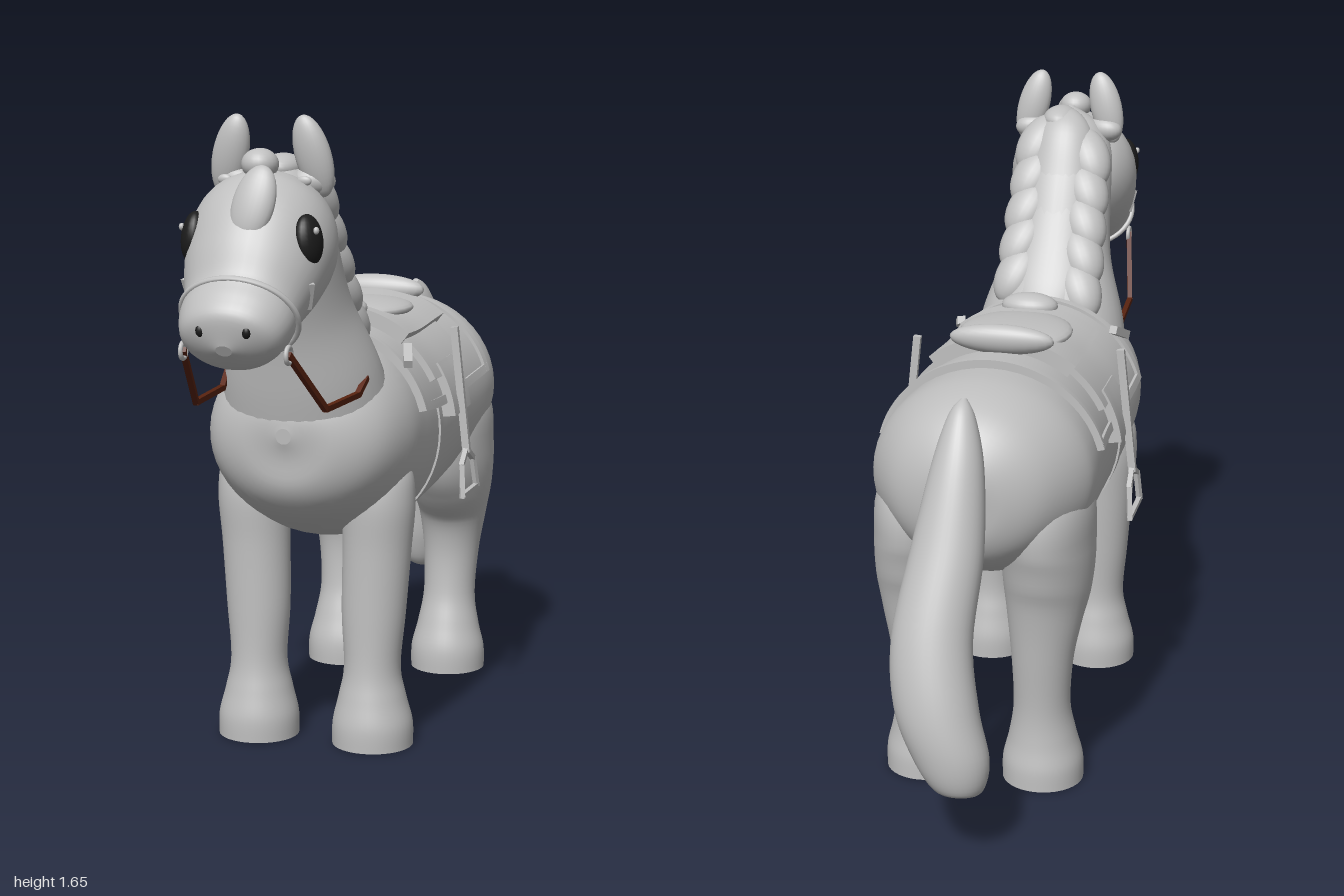
import * as THREE from 'three';
import { toCreasedNormals } from 'three/addons/utils/BufferGeometryUtils.js';

const grey = new THREE.MeshStandardMaterial({ color: 0xc0c0c0 });
grey.name = 'pale grey';
const black = new THREE.MeshStandardMaterial({ color: 0x1c1c1c });
black.name = 'black';
const brown = new THREE.MeshStandardMaterial({ color: 0x5a2410 });
brown.name = 'rein brown';

// Smooth interpolation through sections [x, y, z, half width, half depth]
function sample(secs, t) {
  const f = t * (secs.length - 1);
  const i = Math.min(Math.floor(f), secs.length - 2);
  const u = f - i;
  const at = k => secs[Math.max(0, Math.min(secs.length - 1, k))];
  return secs[0].map((_, k) => {
    const [p, a, b, n] = [at(i - 1)[k], at(i)[k], at(i + 1)[k], at(i + 2)[k]];
    const v = a + 0.5 * u * (b - p + u * (2 * p - 5 * a + 4 * b - n + u * (3 * (a - b) + n - p)));
    return k > 2 ? Math.max(v, 0.001) : v;
  });
}

// Elliptical skin over the sections, closed by flat caps
function loft(secs, steps = 48, sides = 36) {
  const pos = [], idx = [];
  for (let i = 0; i <= steps; i++) {
    const [x, y, z, rx, rn] = sample(secs, i / steps);
    const p = sample(secs, Math.max(0, i - 1) / steps);
    const q = sample(secs, Math.min(steps, i + 1) / steps);
    const len = Math.hypot(q[1] - p[1], q[2] - p[2]);
    const ty = (q[1] - p[1]) / len, tz = (q[2] - p[2]) / len;
    for (let j = 0; j < sides; j++) {
      const a = j / sides * Math.PI * 2, s = Math.sin(a) * rn;
      pos.push(x + Math.cos(a) * rx, y + tz * s, z - ty * s);
      if (i < steps) {
        const k = i * sides, j2 = (j + 1) % sides;
        idx.push(k + j, k + j2, k + sides + j, k + j2, k + sides + j2, k + sides + j);
      }
    }
  }
  [0, steps].forEach(i => {
    const base = pos.length / 3, ring = pos.slice(i * sides * 3, (i + 1) * sides * 3);
    pos.push(...ring, ...sample(secs, i / steps).slice(0, 3));
    for (let j = 0; j < sides; j++) {
      const a = base + j, b = base + (j + 1) % sides;
      idx.push(base + sides, ...(i ? [a, b] : [b, a]));
    }
  });
  const g = new THREE.BufferGeometry();
  g.setAttribute('position', new THREE.Float32BufferAttribute(pos, 3));
  g.setIndex(idx);
  g.computeVertexNormals();
  return g;
}

const bodySections = [
  [0, 0.86, -0.69, 0.02, 0.02], [0, 0.86, -0.67, 0.11, 0.12], [0, 0.855, -0.61, 0.2, 0.195],
  [0, 0.845, -0.5, 0.27, 0.24], [0, 0.83, -0.4, 0.287, 0.26], [0, 0.8, -0.2, 0.27, 0.28],
  [0, 0.785, 0, 0.262, 0.282], [0, 0.8, 0.2, 0.27, 0.275], [0, 0.825, 0.35, 0.268, 0.25],
  [0, 0.84, 0.47, 0.225, 0.205], [0, 0.85, 0.545, 0.13, 0.125], [0, 0.85, 0.572, 0.02, 0.02]];
const bodyRings = Array.from({ length: 201 }, (_, i) => sample(bodySections, i / 200));
const bodyAt = z => bodyRings.find(r => r[2] >= z);

// Cloth or leather panel wrapped over the barrel, between two heights angles
function wrap(z0, z1, a0, a1, off, nu = 40, nv = 8) {
  const pos = [], idx = [];
  for (let i = 0; i <= nv + 2; i++) for (let j = 0; j <= nu + 2; j++) {
    const rim = i === 0 || j === 0 || i === nv + 2 || j === nu + 2;
    const v = Math.max(0, Math.min(nv, i - 1)) / nv, u = Math.max(0, Math.min(nu, j - 1)) / nu;
    const z = z0 + (z1 - z0) * v, a = a0 + (a1 - a0) * u, o = rim ? -0.01 : off;
    const [, y, , rx, ry] = bodyAt(z);
    pos.push(Math.cos(a) * (rx + o), y + Math.sin(a) * (ry + o), z);
    if (i < nv + 2 && j < nu + 2) {
      const k = i * (nu + 3) + j, m = k + nu + 3;
      idx.push(k, k + 1, m, k + 1, m + 1, m);
    }
  }
  const g = new THREE.BufferGeometry();
  g.setAttribute('position', new THREE.Float32BufferAttribute(pos, 3));
  g.setIndex(idx);
  return toCreasedNormals(g, 0.7);
}

export function createModel() {
  const horse = new THREE.Group();
  horse.name = 'saddledHorse';
  const add = (name, geo, mat = grey) => {
    const m = new THREE.Mesh(geo, mat);
    m.name = name;
    horse.add(m);
    return m;
  };
  const ball = (name, p, s, r = [0, 0, 0], mat = grey) => {
    const m = add(name, new THREE.SphereGeometry(1, 24, 16), mat);
    m.position.set(...p);
    m.scale.set(...s);
    m.rotation.set(...r);
  };
  const bar = (name, a, b, w, d = w, mat = grey) => {
    const A = new THREE.Vector3(...a), B = new THREE.Vector3(...b);
    const m = add(name, new THREE.BoxGeometry(w, d, A.distanceTo(B) + w * 0.5), mat);
    m.position.copy(A).add(B).multiplyScalar(0.5);
    m.lookAt(B);
  };

  // Body, neck, head and tail
  add('body', loft(bodySections, 64, 48));
  add('neck', loft([[0, 0.82, 0.35, 0.23, 0.2], [0, 1.0, 0.42, 0.2, 0.175], [0, 1.16, 0.49, 0.15, 0.14],
    [0, 1.31, 0.56, 0.135, 0.125], [0, 1.42, 0.615, 0.13, 0.11], [0, 1.5, 0.64, 0.09, 0.075], [0, 1.55, 0.65, 0.01, 0.01]]));
  add('head', loft([[0, 1.465, 0.55, 0.01, 0.01], [0, 1.43, 0.59, 0.11, 0.11], [0, 1.39, 0.64, 0.16, 0.16],
    [0, 1.34, 0.71, 0.18, 0.18], [0, 1.27, 0.79, 0.167, 0.155], [0, 1.21, 0.86, 0.143, 0.118],
    [0, 1.168, 0.92, 0.135, 0.103], [0, 1.14, 0.965, 0.105, 0.08], [0, 1.125, 0.99, 0.02, 0.015]]));
  add('tail', loft([[0, 1.1, -0.635, 0.008, 0.008], [0, 1.06, -0.66, 0.035, 0.035], [0, 0.95, -0.705, 0.065, 0.06],
    [0.01, 0.76, -0.775, 0.09, 0.075], [0.03, 0.56, -0.855, 0.1, 0.082], [0.01, 0.4, -0.9, 0.105, 0.088],
    [-0.03, 0.28, -0.92, 0.095, 0.08], [-0.05, 0.2, -0.925, 0.06, 0.055], [-0.05, 0.18, -0.93, 0.01, 0.01]]));

  // Mane, forelock and crown tufts
  add('mane', loft([[0, 1.53, 0.65, 0.02, 0.02], [0, 1.48, 0.585, 0.08, 0.06], [0, 1.33, 0.505, 0.1, 0.065],
    [0, 1.2, 0.425, 0.11, 0.065], [0, 1.1, 0.345, 0.11, 0.055], [0, 1.05, 0.27, 0.06, 0.03], [0, 1.045, 0.25, 0.01, 0.01]]));
  ball('crownTuft', [0, 1.535, 0.73], [0.045, 0.038, 0.045]);
  ball('crownTuft', [0.02, 1.52, 0.62], [0.05, 0.035, 0.07]);
  ball('forelock', [0.025, 1.45, 0.85], [0.052, 0.095, 0.026], [-0.28, 0, -0.2]);

  // Muzzle strap
  const nose = add('noseband', new THREE.TorusGeometry(1, 0.055, 8, 48));
  nose.position.set(0, 1.19, 0.88);
  nose.scale.set(0.143, 0.115, 0.15);
  nose.rotation.x = 0.56;

  // Mirrored parts
  for (const s of [1, -1]) {
    add('frontLeg', loft([[s * 0.157, 0, 0.32, 0.106, 0.106], [s * 0.157, 0.06, 0.32, 0.105, 0.105],
      [s * 0.156, 0.13, 0.32, 0.088, 0.09], [s * 0.156, 0.21, 0.32, 0.074, 0.076], [s * 0.158, 0.35, 0.315, 0.084, 0.078],
      [s * 0.165, 0.52, 0.31, 0.09, 0.083], [s * 0.17, 0.65, 0.31, 0.095, 0.088], [s * 0.165, 0.74, 0.31, 0.085, 0.07], [s * 0.15, 0.8, 0.31, 0.03, 0.03]]));
    add('hindLeg', loft([[s * 0.157, 0, -0.44, 0.106, 0.106], [s * 0.157, 0.06, -0.44, 0.105, 0.104],
      [s * 0.157, 0.13, -0.445, 0.088, 0.088], [s * 0.157, 0.22, -0.455, 0.074, 0.074], [s * 0.16, 0.35, -0.465, 0.08, 0.078],
      [s * 0.165, 0.46, -0.46, 0.096, 0.1], [s * 0.168, 0.55, -0.44, 0.112, 0.15], [s * 0.165, 0.66, -0.42, 0.12, 0.19],
      [s * 0.155, 0.8, -0.42, 0.115, 0.18], [s * 0.12, 0.93, -0.42, 0.05, 0.06]]));

    // Ears, eyes and nostrils
    ball('ear', [s * 0.105, 1.55, 0.645], [0.045, 0.102, 0.03], [0.12, 0, s * 0.25]);
    ball('earBase', [s * 0.1, 1.49, 0.635], [0.055, 0.035, 0.035], [0, s * 0.3, 0]);
    ball('eye', [s * 0.143, 1.365, 0.8], [0.03, 0.062, 0.044], [0, s * -0.25, s * 0.12], black);
    ball('eyeGlint', [s * 0.167, 1.39, 0.815], [0.007, 0.009, 0.008]);
    ball('browMark', [s * 0.1, 1.495, 0.7], [0.018, 0.012, 0.008]);
    ball('nostril', [s * 0.054, 1.172, 0.985], [0.013, 0.018, 0.018], [0, s * 0.4, 0], black);

    // Bridle and reins
    bar('cheekStrap', [s * 0.145, 1.21, 0.81], [s * 0.157, 1.265, 0.825], 0.014);
    const ring = add('bitRing', new THREE.TorusGeometry(0.019, 0.006, 8, 20));
    ring.position.set(s * 0.13, 1.11, 0.91);
    ring.rotation.y = Math.PI / 2;
    const rein = [[s * 0.13, 1.11, 0.91], [s * 0.165, 0.957, 0.74], [s * 0.178, 0.957, 0.52], [s * 0.183, 0.99, 0.47]];
    for (let i = 0; i < 3; i++) bar('rein', rein[i], rein[i + 1], 0.014, 0.014, brown);

    // Mane locks, staggered from side to side
    for (let i = 0; i < 5; i++) {
      const t = (i + (s > 0 ? 0.1 : 0.45)) / 4.8;
      ball('maneLock', [s * (0.07 + 0.02 * t), 1.46 - 0.39 * t, 0.575 - 0.25 * t],
        [0.062, 0.095, 0.052], [0.6, 0, s * 0.4]);
    }

    // Saddle flaps, stirrup leather and stirrup
    const side = (a, b) => s > 0 ? [a, b] : [Math.PI - b, Math.PI - a];
    add('saddleSkirt', wrap(-0.19, 0.1, ...side(0.48, 1.4), 0.03, 12));
    add('saddleFlap', wrap(-0.13, 0.02, ...side(0.12, 0.6), 0.036, 10));
    bar('stirrupLeather', [s * 0.277, 1.05, -0.035], [s * 0.313, 0.72, -0.035], 0.017, 0.02);
    const stirrup = [[0.025, 0.69], [0.038, 0.61], [-0.112, 0.61], [-0.095, 0.69]];
    const at = ([z, y]) => [s * (0.318 - (y - 0.65) * 0.08), y, z];
    const loop = [[-0.035, 0.725], ...stirrup, [-0.035, 0.725]];
    for (let i = 0; i < 5; i++) bar('stirrup', at(loop[i]), at(loop[i + 1]), 0.013);
    bar('strapClasp', [s * 0.235, 1.0, 0.27], [s * 0.215, 1.03, 0.205], 0.022);
  }

  // Blanket with raised border
  const lo = 0.24, hi = Math.PI - lo;
  add('blanket', wrap(-0.35, 0.26, lo, hi, 0.012, 40, 16));
  for (const z of [-0.355, 0.24]) add('blanketBorder', wrap(z, z + 0.025, lo, hi, 0.02, 40, 2));
  for (const a of [lo, hi - 0.08]) add('blanketBorder', wrap(-0.35, 0.26, a, a + 0.08, 0.02, 3, 16));
  add('girth', wrap(0.035, 0.07, -Math.PI - 0.3, 0.3, 0.005, 48, 2));

  // Seat, pommel and cantle
  add('saddleSeat', wrap(-0.23, 0.11, 0.92, Math.PI - 0.92, 0.05, 24, 8));
  ball('seatPad', [0, 1.095, -0.06], [0.15, 0.03, 0.16]);
  ball('pommel', [0, 1.115, 0.11], [0.077, 0.035, 0.048]);
  ball('cantle', [0, 1.125, -0.23], [0.138, 0.04, 0.033], [-0.2, 0, 0]);
  return horse;
}
